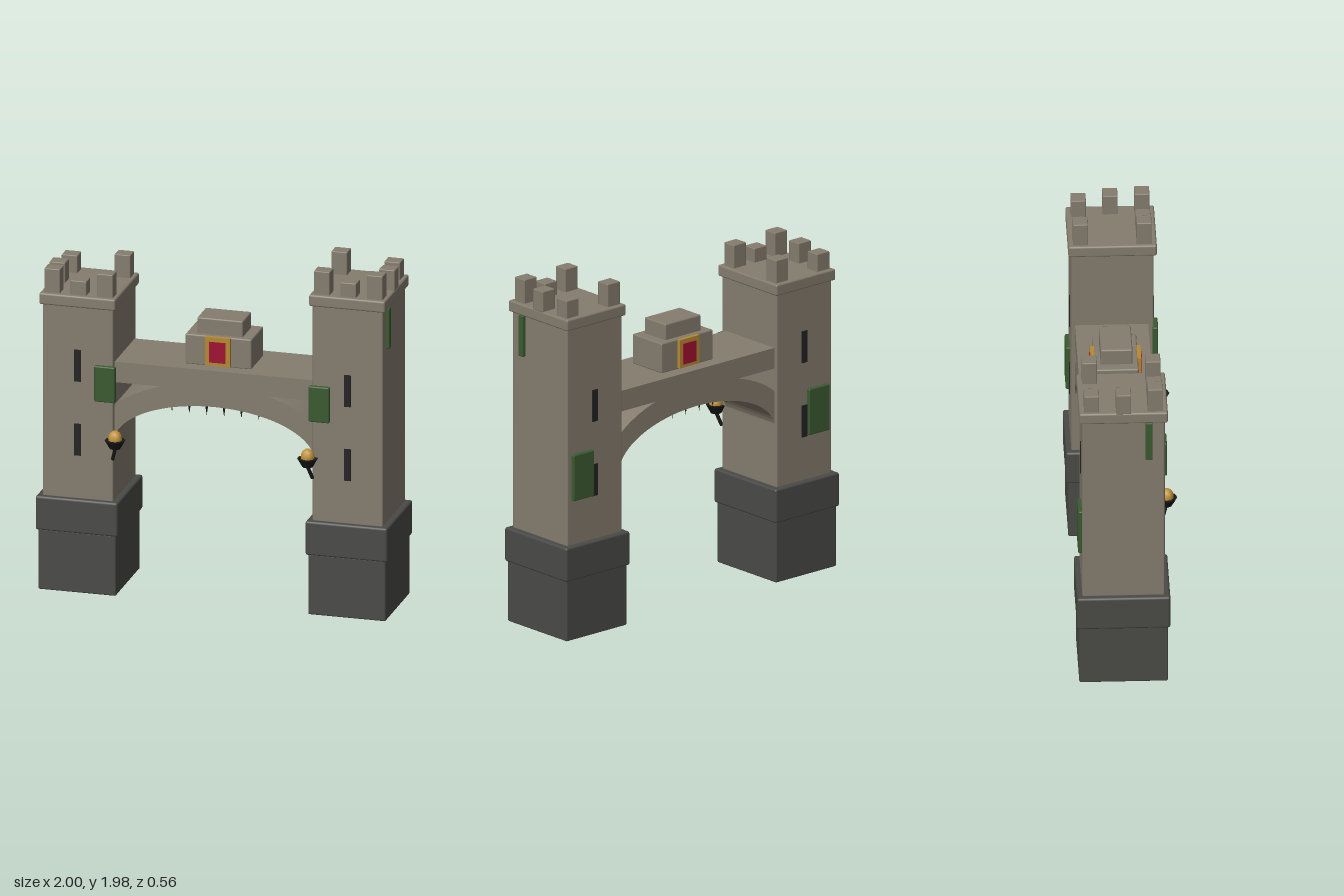
import * as THREE from 'three';
import { RoundedBoxGeometry } from 'three/addons/geometries/RoundedBoxGeometry.js';

const mat = (name, color) => {
  const m = new THREE.MeshStandardMaterial({ color });
  m.name = name;
  return m;
};

export function createModel() {
  const stone = mat('warm stone', 0x857c6e);
  const darkStone = mat('dark stone', 0x4a4b47);
  const ivy = mat('ivy green', 0x3a5a30);
  const slitBlack = mat('slit black', 0x222222);
  const iron = mat('iron', 0x171817);
  const gold = mat('gold', 0xb58a32);
  const red = mat('crimson', 0xa01030);
  const flame = mat('lamp amber', 0xc0923a);

  const root = new THREE.Group();
  root.name = 'gatehouse';
  const ZC = -0.028;

  const add = (parent, name, geometry, material, x = 0, y = 0, z = 0) => {
    const mesh = new THREE.Mesh(geometry, material);
    mesh.name = name;
    mesh.position.set(x, y, z);
    parent.add(mesh);
    return mesh;
  };
  // Box given by its limits, with slightly softened edges when bevel > 0
  const block = (parent, name, material, [x0, x1], [y0, y1], [z0, z1], bevel = 0) => {
    const w = x1 - x0, h = y1 - y0, d = z1 - z0;
    const geo = bevel ? new RoundedBoxGeometry(w, h, d, 1, bevel) : new THREE.BoxGeometry(w, h, d);
    return add(parent, name, geo, material, (x0 + x1) / 2, (y0 + y1) / 2, (z0 + z1) / 2);
  };
  const span = (c, size) => [c - size / 2, c + size / 2];

  // Towers: plinth, shaft, cap, merlons, slits and ivy
  function tower(side, top) {
    const g = new THREE.Group();
    g.name = side > 0 ? 'leftTower' : 'rightTower';
    root.add(g);
    const cx = 0.765 * side;
    block(g, 'plinth', darkStone, span(cx, 0.44), [0, 0.35], span(ZC, 0.485), 0.008);
    block(g, 'plinthBand', darkStone, span(cx, 0.466), [0.345, 0.54], span(ZC, 0.51), 0.012);
    block(g, 'shaft', stone, span(cx, 0.4), [0.535, top + 0.005], span(ZC, 0.45), 0.008);
    block(g, 'cap', stone, span(cx, 0.432), [top, top + 0.065], span(ZC, 0.484), 0.01);

    // Merlons: offset outward, z, height
    const merlons = [
      [-0.15, 0.145, 0.132], [0.15, 0.145, 0.136], [0, 0.145, 0.08],
      [-0.15, -0.202, 0.13], [0.15, -0.202, 0.1], [0.17, -0.028, 0.115],
    ];
    for (const [dx, z, h] of merlons)
      block(g, 'merlon', stone, span(cx + dx * side, 0.09), [top + 0.06, top + 0.065 + h], span(z, 0.082), 0.005);

    // Arrow slits on front and back
    for (const z of [0.2, -0.254])
      for (const y of [0.88, 1.307])
        block(g, 'arrowSlit', slitBlack, span(cx, 0.038), span(y, 0.182), span(z, 0.009));

    // Hanging ivy patches
    block(g, 'frontIvy', ivy, span(0.608 * side, 0.118), [1.115, 1.32], [0.19, 0.221], 0.007);
    block(g, 'backIvy', ivy, span(0.86 * side, 0.15), [0.795, 1.06], [-0.275, -0.243], 0.007);
    block(g, 'sideIvy', ivy, span(0.969 * side, 0.028), [top - 0.235, top], [0.092, 0.13], 0.005);
  }
  tower(-1, 1.645);
  tower(1, 1.78);

  // Bridge: deck and arch as one outline, open between arch shoulders and deck
  const X = 0.57, deckY = 1.22, springY = 0.87;
  const A = 0.685, B = 0.39, a = 0.57, b = 0.26;
  const outer = (x) => springY + B * Math.sqrt(1 - (x / A) ** 2);
  const meetX = A * Math.sqrt(1 - ((deckY - springY) / B) ** 2);
  const shape = new THREE.Shape();
  shape.moveTo(-X, 1.338);
  shape.lineTo(-X, deckY);
  const STEPS = 10;
  for (let i = 0; i <= STEPS; i++) {
    const x = -meetX + (meetX - X) * i / STEPS;
    shape.lineTo(x, outer(x));
  }
  for (let i = 0; i <= 40; i++) {
    const t = Math.PI * (1 - i / 40);
    shape.lineTo(a * Math.cos(t), springY + b * Math.sin(t));
  }
  for (let i = 0; i <= STEPS; i++) {
    const x = X + (meetX - X) * i / STEPS;
    shape.lineTo(x, outer(x));
  }
  shape.lineTo(X, deckY);
  shape.lineTo(X, 1.338);
  shape.closePath();
  add(root, 'archBridge', new THREE.ExtrudeGeometry(shape, { depth: 0.4, bevelEnabled: false }), stone, 0, 0, -0.233);

  // Crest on the bridge, with a framed panel on each face
  block(root, 'crestBase', stone, span(0, 0.376), [1.335, 1.508], [-0.154, 0.086], 0.008);
  block(root, 'crestTop', stone, span(0, 0.26), [1.5, 1.598], [-0.12, 0.054], 0.008);
  for (const s of [-1, 1]) {
    const z = -0.034 + s * 0.127;
    block(root, 'panelFrame', gold, span(0, 0.142), [1.345, 1.507], span(z, 0.022));
    block(root, 'panel', red, span(0, 0.094), [1.364, 1.482], span(z + s * 0.012, 0.009));
  }

  // Portcullis: bar with hanging spikes
  const portcullis = new THREE.Group();
  portcullis.name = 'portcullis';
  root.add(portcullis);
  block(portcullis, 'portcullisBar', iron, [-0.4, 0.4], [1.083, 1.103], span(-0.03, 0.03));
  const spike = new THREE.ConeGeometry(0.012, 0.08, 6).rotateX(Math.PI);
  for (let i = -4; i <= 4; i++)
    add(portcullis, 'spike', spike, iron, i * 0.0985, 1.048, -0.03);

  // Lamps: bracket, bowl and glowing dome
  const bowl = new THREE.CylinderGeometry(0.057, 0.03, 0.048, 10);
  const glow = new THREE.SphereGeometry(0.039, 10, 8).scale(1, 1.25, 1);
  for (const s of [-1, 1]) {
    const lamp = new THREE.Group();
    lamp.name = s > 0 ? 'leftLamp' : 'rightLamp';
    root.add(lamp);
    add(lamp, 'lampBowl', bowl, iron, 0.546 * s, 0.882, 0.224);
    add(lamp, 'lampGlow', glow, flame, 0.546 * s, 0.912, 0.224);
    const from = new THREE.Vector3(0.567 * s, 0.785, 0.2);
    const to = new THREE.Vector3(0.543 * s, 0.865, 0.224);
    const stick = add(lamp, 'lampBracket', new THREE.CylinderGeometry(0.01, 0.01, from.distanceTo(to), 6), iron);
    stick.position.copy(from).lerp(to, 0.5);
    stick.quaternion.setFromUnitVectors(new THREE.Vector3(0, 1, 0), to.clone().sub(from).normalize());
  }
  return root;
}
